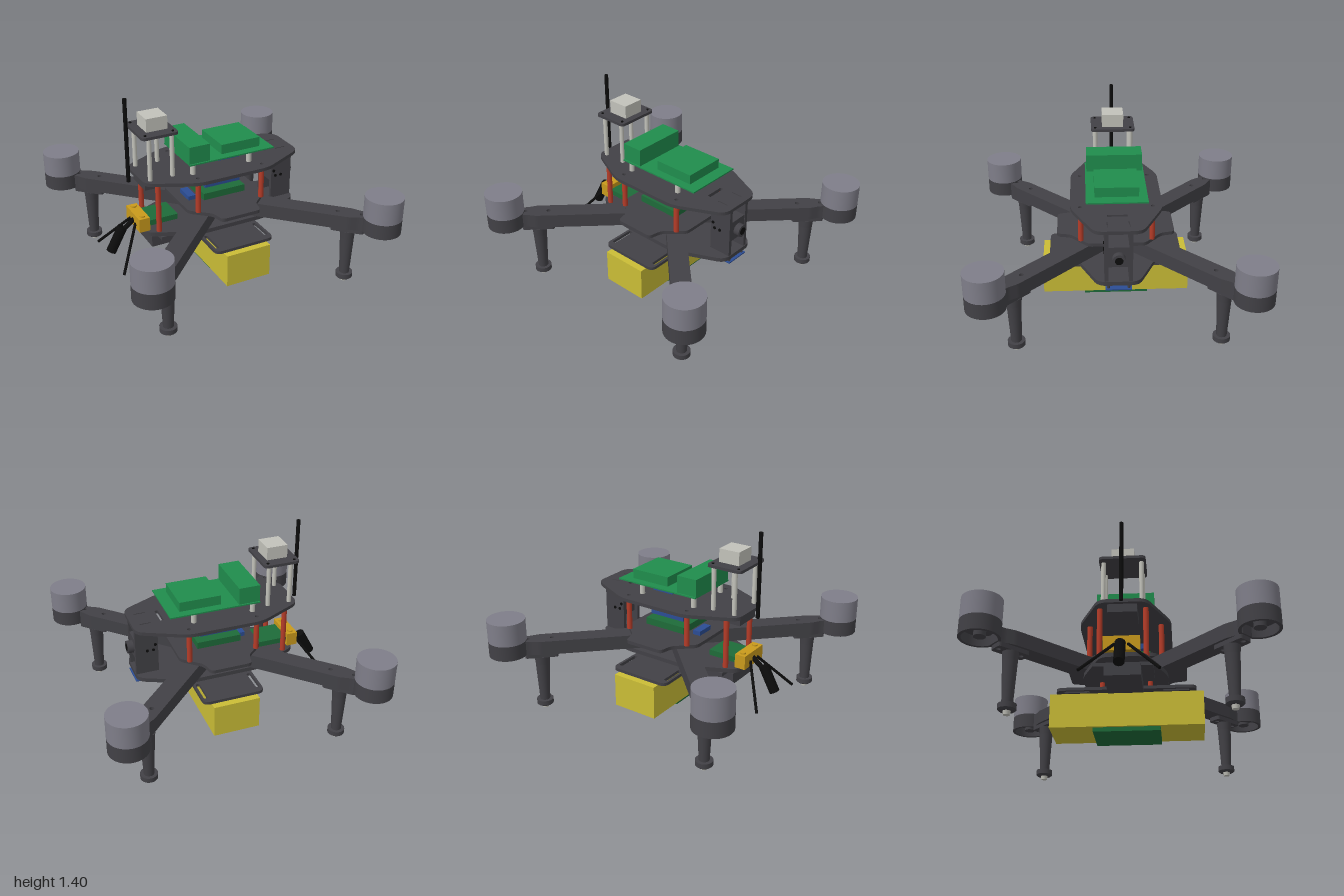
import * as THREE from 'three';

const mat = (name, color) => {
  const m = new THREE.MeshStandardMaterial({ color });
  m.name = name;
  return m;
};

export function createModel() {
  const carbon = mat('carbon', 0x424146), grey = mat('motor grey', 0x7f7e89);
  const green = mat('board green', 0x208d4d), darkGreen = mat('dark green', 0x1e6b39);
  const yellow = mat('battery yellow', 0xcabd36), gold = mat('gold', 0xc99a1c);
  const blue = mat('blue', 0x2b4d94), red = mat('red', 0xb53c28);
  const silver = mat('silver', 0xc2c2ba), black = mat('black', 0x0c0c0c);

  const model = new THREE.Group();
  const add = (name, geo, material, parent = model) => {
    const m = new THREE.Mesh(geo, material);
    m.name = name;
    parent.add(m);
    return m;
  };
  // Box given by its extents on each axis
  const box = (name, material, x0, x1, y0, y1, z0, z1, parent) =>
    add(name, new THREE.BoxGeometry(x1 - x0, y1 - y0, z1 - z0)
      .translate((x0 + x1) / 2, (y0 + y1) / 2, (z0 + z1) / 2), material, parent);
  // Upright cylinder or cone
  const post = (name, material, x, z, y0, y1, r, rTop = r, parent = model, sides = 20) =>
    add(name, new THREE.CylinderGeometry(rTop, r, y1 - y0, sides)
      .translate(x, (y0 + y1) / 2, z), material, parent);
  const rod = (name, material, a, b, r) => {
    const p = new THREE.Vector3(...a), q = new THREE.Vector3(...b), d = q.clone().sub(p);
    const m = add(name, new THREE.CylinderGeometry(r, r, d.length(), 14), material);
    m.position.copy(p).add(q).multiplyScalar(0.5);
    m.quaternion.setFromUnitVectors(new THREE.Vector3(0, 1, 0), d.normalize());
    return m;
  };

  // Polygon outline with rounded corners
  const outline = (pts, r) => {
    const s = new THREE.Shape(), n = pts.length;
    const v = pts.map(p => new THREE.Vector2(...p));
    v.forEach((c, i) => {
      const toward = o => c.clone().add(o.clone().sub(c).setLength(r));
      const a = toward(v[(i + n - 1) % n]), b = toward(v[(i + 1) % n]);
      if (i) s.lineTo(a.x, a.y); else s.moveTo(a.x, a.y);
      s.quadraticCurveTo(c.x, c.y, b.x, b.y);
    });
    s.closePath();
    return s;
  };
  const rect = (x0, x1, z0, z1) => [[x0, z0], [x1, z0], [x1, z1], [x0, z1]];
  const mirror = q => [...q, ...q.map(([x, z]) => [-x, z]).reverse(),
    ...q.map(([x, z]) => [-x, -z]), ...q.map(([x, z]) => [x, -z]).reverse()];
  const round = (x, z, r) => new THREE.Path().absarc(x, z, r, 0, Math.PI * 2, true);
  // Flat horizontal plate with cut-outs
  const plate = (name, pts, r, y0, y1, holes = [], parent = model) => {
    const s = outline(pts, r);
    s.holes.push(...holes);
    const g = new THREE.ExtrudeGeometry(s, { depth: y1 - y0, bevelEnabled: false, curveSegments: 8 });
    return add(name, g.rotateX(-Math.PI / 2).translate(0, y0, 0), carbon, parent);
  };
  const corners = f => { for (const x of [-1, 1]) for (const z of [-1, 1]) f(x, z); };

  // Frame plates
  const topHoles = [outline(rect(0.375, 0.4, -0.07, 0.07), 0.004),
    outline(rect(0.47, 0.55, 0.07, 0.078), 0.002), outline(rect(0.47, 0.55, -0.078, -0.07), 0.002)];
  corners((x, z) => topHoles.push(round(x * 0.25, z * 0.25, 0.014)));
  plate('topPlate', mirror([[0.605, 0.16], [0.27, 0.32]]), 0.06, 0.815, 0.84, topHoles);
  plate('middlePlate', mirror([[0.305, 0.2], [0.17, 0.32], [0.15, 0.42]]), 0.03, 0.555, 0.58);
  plate('bottomPlate', mirror([[0.6, 0.14], [0.27, 0.29]]), 0.06, 0.42, 0.45);
  const strapSlots = [];
  for (const s of [-1, 1]) for (const t of [-1, 1]) {
    const xs = [s * 0.182, s * 0.21].sort((a, b) => a - b);
    const zs = [t * 0.25, t * 0.43].sort((a, b) => a - b);
    strapSlots.push(outline(rect(...xs, ...zs), 0.01));
  }
  plate('batteryPlate', rect(-0.228, 0.228, -0.48, 0.48), 0.05, 0.348, 0.37, strapSlots);

  // Four arms, each with motor and leg, built along +x and turned outwards
  corners((sx, sz) => {
    const arm = new THREE.Group();
    arm.name = 'armAssembly';
    arm.rotation.y = Math.atan2(-sz, sx);
    model.add(arm);
    const holes = () => [round(0.912, 0, 0.016), round(1.082, 0, 0.016)];
    plate('arm', [[0.12, -0.068], [1.0, -0.068], [1.07, -0.05], [1.12, -0.05],
      [1.12, 0.05], [1.07, 0.05], [1.0, 0.068], [0.12, 0.068]], 0.015, 0.45, 0.552, holes(), arm);
    plate('legMount', rect(0.875, 1.108, -0.05, 0.05), 0.02, 0.42, 0.45, holes(), arm);
    const c = 1.223;
    post('motor', grey, c, 0, 0.56, 0.72, 0.135, 0.135, arm, 48);
    const cup = [[0, 0.52], [0.115, 0.52], [0.115, 0.45], [0.135, 0.45], [0.135, 0.56], [0, 0.56]];
    // Doubled points keep the cup edges sharp
    for (let i = 0; i < cup.length - 1; i++) {
      add('motorCup', new THREE.LatheGeometry([cup[i], cup[i + 1]].map(p => new THREE.Vector2(...p)), 48)
        .translate(c, 0, 0), carbon, arm);
    }
    post('motorHub', carbon, c, 0, 0.46, 0.52, 0.04, 0.04, arm);
    const l = 0.99;
    post('legCollar', carbon, l, 0, 0.36, 0.42, 0.05, 0.055, arm);
    post('leg', carbon, l, 0, 0.07, 0.36, 0.036, 0.05, arm);
    post('foot', carbon, l, 0, 0.035, 0.07, 0.06, 0.06, arm, 24);
    post('footTaper', carbon, l, 0, 0.025, 0.035, 0.048, 0.06, arm, 24);
    post('footTip', silver, l, 0, 0, 0.025, 0.022, 0.026, arm);
  });

  // Standoffs
  corners((x, z) => {
    post('frameStandoff', red, x * 0.25, z * 0.25, 0.58, 0.815, 0.019);
    post('batteryStandoff', red, x * 0.173, z * 0.165, 0.37, 0.42, 0.018);
    post('boardStandoff', silver, -0.03 + x * 0.22, z * 0.17, 0.84, 0.92, 0.019);
    post('towerStandoff', silver, -0.468 + x * 0.083, z * 0.13, 0.84, 1.15, 0.016);
    post('towerScrew', black, -0.475 + x * 0.1, z * 0.13, 1.17, 1.175, 0.009);
  });
  for (const z of [-1, 1]) post('rearStandoff', red, -0.508, z * 0.155, 0.45, 0.815, 0.019);

  // Battery with underside board
  box('battery', yellow, -0.17, 0.17, 0.105, 0.347, -0.528, 0.528);
  box('undersideBoard', darkGreen, -0.152, 0.15, 0.075, 0.105, -0.23, 0.23);

  // Computer on top
  box('computerBoard', green, -0.29, 0.37, 0.92, 0.93, -0.212, 0.212);
  box('portBlock', green, -0.29, -0.135, 0.93, 1.055, -0.202, 0.202);
  box('computerCover', green, -0.017, 0.285, 0.93, 1.0, -0.152, 0.152);
  box('topModule', blue, 0, 0.168, 0.84, 0.9, -0.07, 0.07);

  // Electronics between the plates
  box('flightBoard', blue, -0.14, 0.135, 0.69, 0.73, -0.14, 0.14);
  box('powerBoard', darkGreen, -0.165, 0.162, 0.61, 0.66, -0.167, 0.167);
  box('smallModule', blue, -0.238, -0.18, 0.58, 0.612, -0.07, 0.07);

  // Antenna tower
  plate('towerPlate', rect(-0.608, -0.342, -0.16, 0.16), 0.03, 1.15, 1.17);
  box('positionReceiver', silver, -0.545, -0.39, 1.17, 1.265, -0.078, 0.078);
  box('receiverBox', carbon, -0.58, -0.36, 0.755, 0.815, -0.1, 0.1);

  // Rear radio and antennas
  box('radioBoard', darkGreen, -0.56, -0.34, 0.475, 0.515, -0.1, 0.1);
  box('radioConnector', gold, -0.64, -0.56, 0.45, 0.55, -0.12, 0.12);
  rod('mastAntenna', black, [-0.658, 0.8, 0], [-0.658, 1.405, 0], 0.014);
  for (const z of [-1, 1]) {
    post('connectorCap', gold, -0.6, z * 0.08, 0.55, 0.56, 0.02);
    rod('whipAntenna', black, [-0.64, 0.49, z * 0.045], [-0.82, 0.235, z * 0.25], 0.01);
  }
  rod('antennaStem', black, [-0.63, 0.5, 0], [-0.75, 0.41, 0], 0.018);
  rod('paddleAntenna', black, [-0.72, 0.46, 0], [-0.815, 0.285, 0], 0.036);

  // Rear underside housing
  box('housing', carbon, -0.55, -0.247, 0.312, 0.395, -0.12, 0.12);
  box('housingFlange', carbon, -0.51, -0.27, 0.395, 0.42, -0.2, 0.2);

  // Camera and its side brackets
  for (const z of [-1, 1]) {
    const zs = [z * 0.07, z * 0.095].sort((a, b) => a - b);
    box('cameraBracket', carbon, 0.43, 0.595, 0.45, 0.815, ...zs);
    for (const [x, y] of [[0.45, 0.67], [0.465, 0.63], [0.51, 0.63]]) {
      add('bracketScrew', new THREE.CylinderGeometry(0.011, 0.011, 0.006, 12)
        .rotateX(Math.PI / 2).translate(x, y, z * 0.097), black);
    }
  }
  box('camera', carbon, 0.46, 0.59, 0.56, 0.71, -0.07, 0.07);
  add('lens', new THREE.CylinderGeometry(0.045, 0.045, 0.05, 28)
    .rotateZ(Math.PI / 2).translate(0.608, 0.63, 0), carbon);
  add('lensGlass', new THREE.CylinderGeometry(0.028, 0.028, 0.004, 24)
    .rotateZ(Math.PI / 2).translate(0.633, 0.63, 0), black);

  // Downward sensor
  box('sensorBoard', blue, 0.41, 0.6, 0.384, 0.392, -0.09, 0.09);
  box('sensor', blue, 0.465, 0.535, 0.34, 0.384, -0.035, 0.035);
  corners((x, z) => post('sensorPost', carbon, 0.505 + x * 0.075, z * 0.07, 0.392, 0.42, 0.01));

  return model;
}
